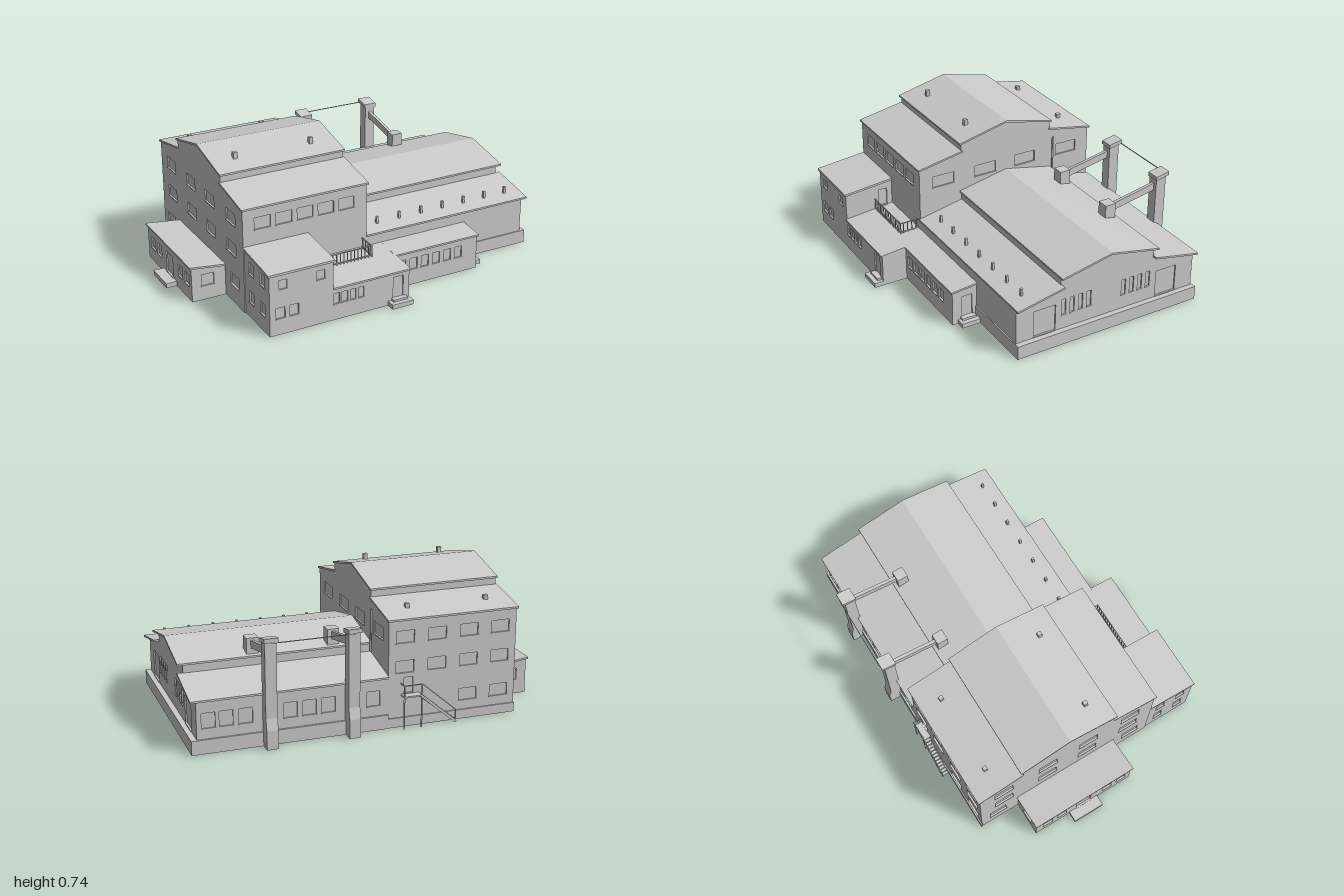
import * as THREE from 'three';

const T = 0.01; // wall thickness
const MAT = new THREE.MeshStandardMaterial({ color: 0xcccccc, side: THREE.DoubleSide, flatShading: true });

// Facing of a wall: turn about y, and the sign that maps world x or z to the wall's own axis
const FACE = {
  front: { rot: 0, s: 1 },
  back: { rot: Math.PI, s: -1 },
  left: { rot: Math.PI / 2, s: -1 },
  right: { rot: -Math.PI / 2, s: 1 },
};

function add(parent, name, geo) {
  const m = new THREE.Mesh(geo, MAT);
  m.name = name;
  parent.add(m);
  return m;
}

function block(parent, name, x0, x1, y0, y1, z0, z1) {
  const m = add(parent, name, new THREE.BoxGeometry(x1 - x0, y1 - y0, z1 - z0));
  m.position.set((x0 + x1) / 2, (y0 + y1) / 2, (z0 + z1) / 2);
  return m;
}

// Square bar between two points
function bar(parent, name, a, b, w, h = w) {
  const p = new THREE.Vector3(...a), q = new THREE.Vector3(...b);
  const m = add(parent, name, new THREE.BoxGeometry(w, h, p.distanceTo(q)));
  m.position.copy(p).add(q).multiplyScalar(0.5);
  m.lookAt(q);
  return m;
}

// Wall with recessed panes and sills; openings are [centre, bottom, width, height]
function wall(parent, name, face, at, outline, openings = []) {
  const { rot, s } = FACE[face];
  const g = new THREE.Group();
  g.name = name;
  const shape = new THREE.Shape(outline.map(([u, y]) => new THREE.Vector2(u * s, y)));
  for (const [c, y, w, h] of openings) {
    const l = c * s - w / 2, r = c * s + w / 2;
    shape.holes.push(new THREE.Path([[l, y], [l, y + h], [r, y + h], [r, y]].map(p => new THREE.Vector2(...p))));
    add(g, 'pane', new THREE.PlaneGeometry(w, h)).position.set(c * s, y + h / 2, -T * 0.7);
    add(g, 'sill', new THREE.BoxGeometry(w + 0.006, 0.005, 0.008)).position.set(c * s, y - 0.001, 0);
  }
  const geo = new THREE.ExtrudeGeometry(shape, { depth: T, bevelEnabled: false });
  geo.translate(0, 0, -T);
  add(g, 'wallFace', geo);
  g.rotation.y = rot;
  if (face === 'front' || face === 'back') g.position.z = at; else g.position.x = at;
  parent.add(g);
}

const rect = (a, b, y0, y1) => [[a, y0], [b, y0], [b, y1], [a, y1]];
const row = (centres, y, w, h) => centres.map(c => [c, y, w, h]);
const spread = (a, b, n) => Array.from({ length: n }, (_, i) => a + (b - a) * i / (n - 1));

// Thin roof sheet spanning x0..x1 whose top runs between two [z, y] points
function roof(parent, x0, x1, a, b, t = 0.01) {
  const shape = new THREE.Shape([[a[0], a[1]], [b[0], b[1]], [b[0], b[1] - t], [a[0], a[1] - t]]
    .map(([z, y]) => new THREE.Vector2(-z, y)));
  const geo = new THREE.ExtrudeGeometry(shape, { depth: x1 - x0, bevelEnabled: false });
  geo.rotateY(Math.PI / 2);
  add(parent, 'roofSheet', geo).position.x = x0;
}

// Building with a raised middle roof: e eave, s shoulder, c clerestory top, r ridge heights
function steppedHall(parent, name, x0, x1, roofX, [e, s, c, r], wins) {
  const g = new THREE.Group();
  g.name = name;
  const profile = [[0.405, 0], [0.405, e], [0.15, s], [0.15, c], [-0.13, r], [-0.41, c], [-0.41, s], [-0.665, e], [-0.665, 0]]
    .map(([z, y]) => [z, y ? y - 0.006 : 0]);
  wall(g, 'leftGable', 'left', x1, profile, wins.left);
  wall(g, 'rightGable', 'right', x0, profile, wins.right);
  wall(g, 'frontWall', 'front', 0.405, rect(x0, x1, 0, e - 0.005), wins.front);
  wall(g, 'backWall', 'back', -0.665, rect(x0, x1, 0, e - 0.005), wins.back);
  wall(g, 'frontClerestory', 'front', 0.15, rect(x0, x1, s - 0.02, c - 0.005));
  wall(g, 'backClerestory', 'back', -0.41, rect(x0, x1, s - 0.02, c - 0.005));
  roof(g, ...roofX, [0.413, e], [0.145, s]);
  roof(g, ...roofX, [0.16, c], [-0.13, r]);
  roof(g, ...roofX, [-0.13, r], [-0.42, c]);
  roof(g, ...roofX, [-0.405, s], [-0.675, e]);
  parent.add(g);
}

export function createModel() {
  const model = new THREE.Group();
  model.name = 'factory';

  // Tall block
  const bays = [0.26, 0, -0.25, -0.52];
  const backBays = spread(-0.66, -0.13, 4);
  steppedHall(model, 'tallBlock', -0.75, -0.04, [-0.757, -0.033], [0.58, 0.63, 0.675, 0.743], {
    left: row(bays, 0.45, 0.13, 0.065),
    right: [...row(bays, 0.45, 0.11, 0.065), ...row(bays, 0.28, 0.11, 0.065), ...row([0.29, -0.56], 0.1, 0.1, 0.065)],
    front: row(spread(-0.64, -0.16, 5), 0.455, 0.09, 0.065),
    back: [...row(backBays, 0.45, 0.1, 0.065), ...row(backBays, 0.29, 0.1, 0.065),
      ...row(backBays.slice(0, 2), 0.1, 0.1, 0.065), [-0.15, 0.18, 0.05, 0.085]],
  });
  for (const x of [-0.62, -0.18]) {
    block(model, 'roofVent', x - 0.011, x + 0.011, 0.69, 0.735, 0.035, 0.057);
    block(model, 'roofVent', x - 0.011, x + 0.011, 0.585, 0.625, -0.566, -0.544);
  }
  bar(model, 'wallPipe', [-0.033, 0.34, -0.43], [-0.033, 0.57, -0.43], 0.008);

  // Low hall with plinth and gable doors
  steppedHall(model, 'lowHall', -0.04, 0.96, [-0.04, 0.99], [0.28, 0.335, 0.387, 0.447], {
    left: [...row([0.24, -0.495], 0.08, 0.125, 0.148),
      ...row([...spread(0.13, -0.02, 4), ...spread(-0.23, -0.38, 4)], 0.155, 0.025, 0.09)],
    right: [],
    front: [],
    back: row([0.04, 0.28, 0.38, 0.48, 0.71, 0.81, 0.9], 0.13, 0.07, 0.08),
  });
  block(model, 'plinth', 0.95, 0.99, 0, 0.075, -0.67, 0.41);
  block(model, 'plinth', -0.04, 0.99, 0, 0.075, -0.675, -0.66);
  block(model, 'plinth', 0.57, 0.99, 0, 0.075, 0.395, 0.411);
  block(model, 'plinth', -0.753, -0.04, 0, 0.05, -0.672, -0.66);
  for (const x of spread(0.065, 0.89, 7)) bar(model, 'ventPipe', [x, 0.285, 0.335], [x, 0.335, 0.335], 0.013);

  // Chimneys, each joined to a roof box by a sloping duct
  const flue = new THREE.Shape([[0.66, 0], [0.735, 0], [0.735, 0.1], [0.72, 0.16], [0.72, 0.55], [0.66, 0.55]]
    .map(p => new THREE.Vector2(...p)));
  const cap = new THREE.Shape([[0.655, 0.54], [0.735, 0.555], [0.735, 0.577], [0.655, 0.562]]
    .map(p => new THREE.Vector2(...p)));
  for (const x of [0.163, 0.595]) {
    for (const [name, shape, w] of [['chimney', flue, 0.06], ['chimneyCap', cap, 0.074]]) {
      const geo = new THREE.ExtrudeGeometry(shape, { depth: w, bevelEnabled: false });
      geo.rotateY(Math.PI / 2);
      add(model, name, geo).position.x = x - w / 2;
    }
    block(model, 'ductBox', x - 0.032, x + 0.032, 0.37, 0.475, -0.40, -0.338);
    bar(model, 'duct', [x, 0.44, -0.39], [x, 0.495, -0.67], 0.018, 0.04);
  }
  bar(model, 'cable', [0.163, 0.553, -0.735], [0.595, 0.553, -0.735], 0.004);

  // Front annex: two-storey end, terrace, and shallower wing
  const annex = new THREE.Group();
  annex.name = 'frontAnnex';
  model.add(annex);
  const slope = (z0, y0, y1) => [[0.405, 0], [z0, 0], [z0, y0], [0.405, y1]];
  wall(annex, 'annexFront', 'front', 0.685, rect(-0.745, 0.055, 0, 0.178),
    [...row([-0.685, -0.61], 0.09, 0.05, 0.06), ...row(spread(-0.37, -0.23, 4), 0.09, 0.033, 0.06), [-0.01, 0.035, 0.06, 0.12]]);
  wall(annex, 'annexLeft', 'left', 0.055, slope(0.685, 0.178, 0.208));
  wall(annex, 'annexRight', 'right', -0.745, slope(0.685, 0.335, 0.365),
    [...row([0.48, 0.61], 0.09, 0.05, 0.065), ...row([0.48, 0.61], 0.25, 0.05, 0.065)]);
  wall(annex, 'wingFront', 'front', 0.545, rect(0.055, 0.57, 0, 0.195), row(spread(0.1, 0.45, 6), 0.09, 0.045, 0.065));
  wall(annex, 'wingLeft', 'left', 0.57, slope(0.545, 0.195, 0.208), [[0.46, 0.035, 0.06, 0.12]]);
  wall(annex, 'upperFront', 'front', 0.685, rect(-0.745, -0.39, 0.175, 0.335), row([-0.67, -0.46], 0.25, 0.045, 0.05));
  wall(annex, 'upperLeft', 'left', -0.39, [[0.405, 0.2], [0.685, 0.175], [0.685, 0.335], [0.405, 0.365]], [[0.46, 0.215, 0.05, 0.1]]);
  roof(annex, -0.752, -0.383, [0.692, 0.342], [0.405, 0.372], 0.012);
  roof(annex, -0.39, 0.06, [0.692, 0.185], [0.405, 0.216]);
  roof(annex, 0.05, 0.577, [0.553, 0.201], [0.405, 0.216]);
  block(annex, 'doorStep', -0.07, 0.055, 0, 0.025, 0.685, 0.735);
  block(annex, 'doorStep', -0.05, 0.035, 0.025, 0.037, 0.685, 0.71);
  block(annex, 'sideStep', 0.57, 0.62, 0, 0.025, 0.405, 0.515);
  block(annex, 'sideStep', 0.57, 0.595, 0.025, 0.037, 0.42, 0.5);

  // Terrace railing
  const rail = new THREE.Group();
  rail.name = 'terraceRailing';
  model.add(rail);
  for (const y of [0.215, 0.268]) {
    bar(rail, 'rail', [-0.385, y, 0.512], [-0.068, y, 0.512], 0.005);
    bar(rail, 'rail', [-0.068, y, 0.512], [-0.068, y, 0.405], 0.005);
  }
  for (const x of spread(-0.38, -0.068, 16)) bar(rail, 'baluster', [x, 0.2, 0.512], [x, 0.268, 0.512], 0.004);
  for (const z of spread(0.42, 0.495, 4)) bar(rail, 'baluster', [-0.068, 0.205, z], [-0.068, 0.268, z], 0.004);

  // Side annex with a roof leaning towards the tall block
  const side = new THREE.Group();
  side.name = 'sideAnnex';
  model.add(side);
  const end = [[-0.94, 0], [-0.75, 0], [-0.75, 0.172], [-0.94, 0.196]];
  wall(side, 'sideFront', 'front', 0.17, end, [[-0.85, 0.08, 0.07, 0.065]]);
  wall(side, 'sideBack', 'back', -0.435, end, [[-0.85, 0.08, 0.07, 0.065]]);
  wall(side, 'sideOuter', 'right', -0.94, rect(-0.435, 0.17, 0, 0.196),
    [...row([-0.36, -0.27, 0.02, 0.11], 0.08, 0.055, 0.065), [-0.13, 0.03, 0.09, 0.12]]);
  const sheet = new THREE.ExtrudeGeometry(new THREE.Shape([[-0.95, 0.194], [-0.75, 0.17], [-0.75, 0.18], [-0.95, 0.204]]
    .map(p => new THREE.Vector2(...p))), { depth: 0.62, bevelEnabled: false });
  add(side, 'sideRoof', sheet).position.z = -0.442;
  block(side, 'sideStep', -1, -0.94, 0, 0.026, -0.22, -0.04);

  // Outside stair at the back
  const stair = new THREE.Group();
  stair.name = 'backStair';
  model.add(stair);
  block(stair, 'landing', -0.21, -0.11, 0.168, 0.176, -0.71, -0.665);
  spread(0, 1, 12).forEach(t => {
    const x = -0.215 - 0.175 * t, y = 0.16 - 0.145 * t;
    block(stair, 'tread', x - 0.009, x + 0.007, y - 0.003, y + 0.003, -0.708, -0.67);
  });
  for (const z of [-0.672, -0.709]) bar(stair, 'stringer', [-0.21, 0.168, z], [-0.4, 0.006, z], 0.005, 0.014);
  bar(stair, 'handrail', [-0.21, 0.235, -0.71], [-0.4, 0.07, -0.71], 0.005);
  bar(stair, 'handrail', [-0.11, 0.235, -0.71], [-0.21, 0.235, -0.71], 0.005);
  bar(stair, 'handrail', [-0.11, 0.235, -0.71], [-0.11, 0.235, -0.665], 0.005);
  for (const x of [-0.112, -0.208]) bar(stair, 'post', [x, 0, -0.708], [x, 0.235, -0.708], 0.006);
  bar(stair, 'post', [-0.398, 0, -0.708], [-0.398, 0.07, -0.708], 0.005);

  return model;
}
